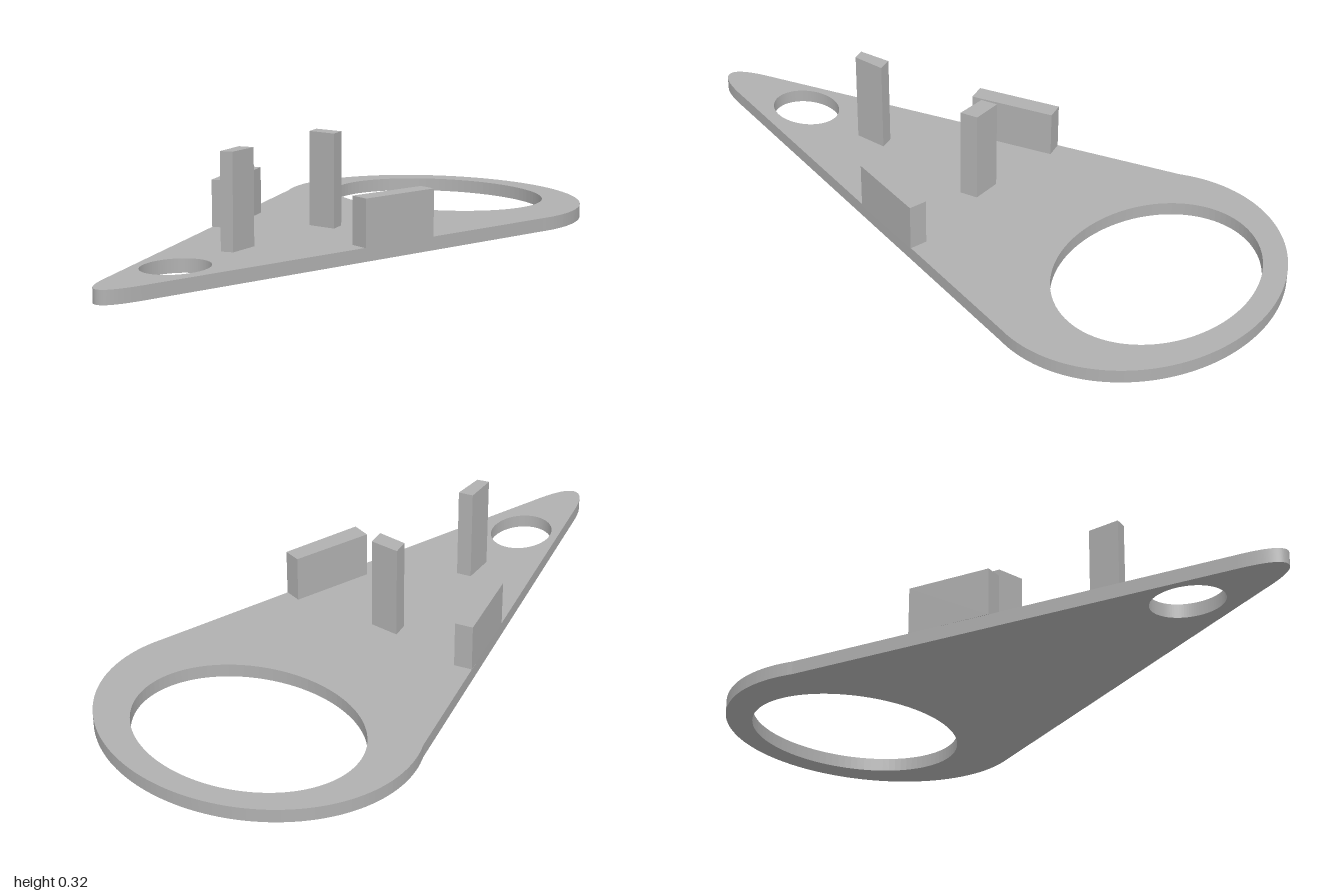
import * as THREE from 'three';

const grey = new THREE.MeshStandardMaterial({ color: 0xb0b0b0 });
grey.name = 'plain grey';

const PLATE = 0.04;

// Extrude a ground-plan shape (x, -z) upward from height y0 to y1.
function extrudeUp(name, shape, y0, y1) {
  const geo = new THREE.ExtrudeGeometry(shape, { depth: y1 - y0, bevelEnabled: false, curveSegments: 48 });
  geo.rotateX(-Math.PI / 2);
  geo.translate(0, y0, 0);
  const mesh = new THREE.Mesh(geo, grey);
  mesh.name = name;
  return mesh;
}

function ellipseHole(x, z, rx, rz) {
  const path = new THREE.Path();
  path.absellipse(x, -z, rx, rz, 0, Math.PI * 2, true);
  return path;
}

// Upright block over a four-cornered plan given as [x, z] corners.
function post(name, corners, top) {
  const shape = new THREE.Shape(corners.map(([x, z]) => new THREE.Vector2(x, -z)));
  return extrudeUp(name, shape, PLATE, top);
}

export function createModel() {
  const model = new THREE.Group();
  model.name = 'mountingPlate';

  // Teardrop plate: wide rounded back, straight sides, narrow rounded tip
  const outline = new THREE.Shape();
  outline.moveTo(0.455, 0.46);
  outline.absellipse(0, 0.59, 0.48, 0.41, -0.322, Math.PI + 0.322, false);
  outline.lineTo(-0.14, -0.89);
  outline.bezierCurveTo(-0.125, -0.955, -0.105, -1, -0.078, -1);
  outline.bezierCurveTo(-0.05, -1, -0.025, -0.955, 0.002, -0.87);
  outline.closePath();
  outline.holes.push(
    ellipseHole(-0.015, -0.657, 0.347, 0.273),
    ellipseHole(-0.072, 0.673, 0.09, 0.11)
  );
  model.add(extrudeUp('basePlate', outline, 0, PLATE));

  // Tall posts on the centre line
  model.add(post('middlePost', [[-0.088, -0.05], [0.002, -0.045], [0.01, 0.008], [-0.08, 0.0]], 0.32));
  model.add(post('frontPost', [[-0.088, 0.35], [-0.044, 0.342], [-0.046, 0.442], [-0.082, 0.45]], 0.32));

  // Low side walls along the slanting edges
  model.add(post('rightSideWall', [[-0.366, -0.08], [-0.313, -0.09], [-0.256, 0.162], [-0.309, 0.172]], 0.18));
  model.add(post('leftSideWall', [[0.262, -0.058], [0.314, -0.042], [0.234, 0.2], [0.178, 0.18]], 0.18));

  return model;
}
